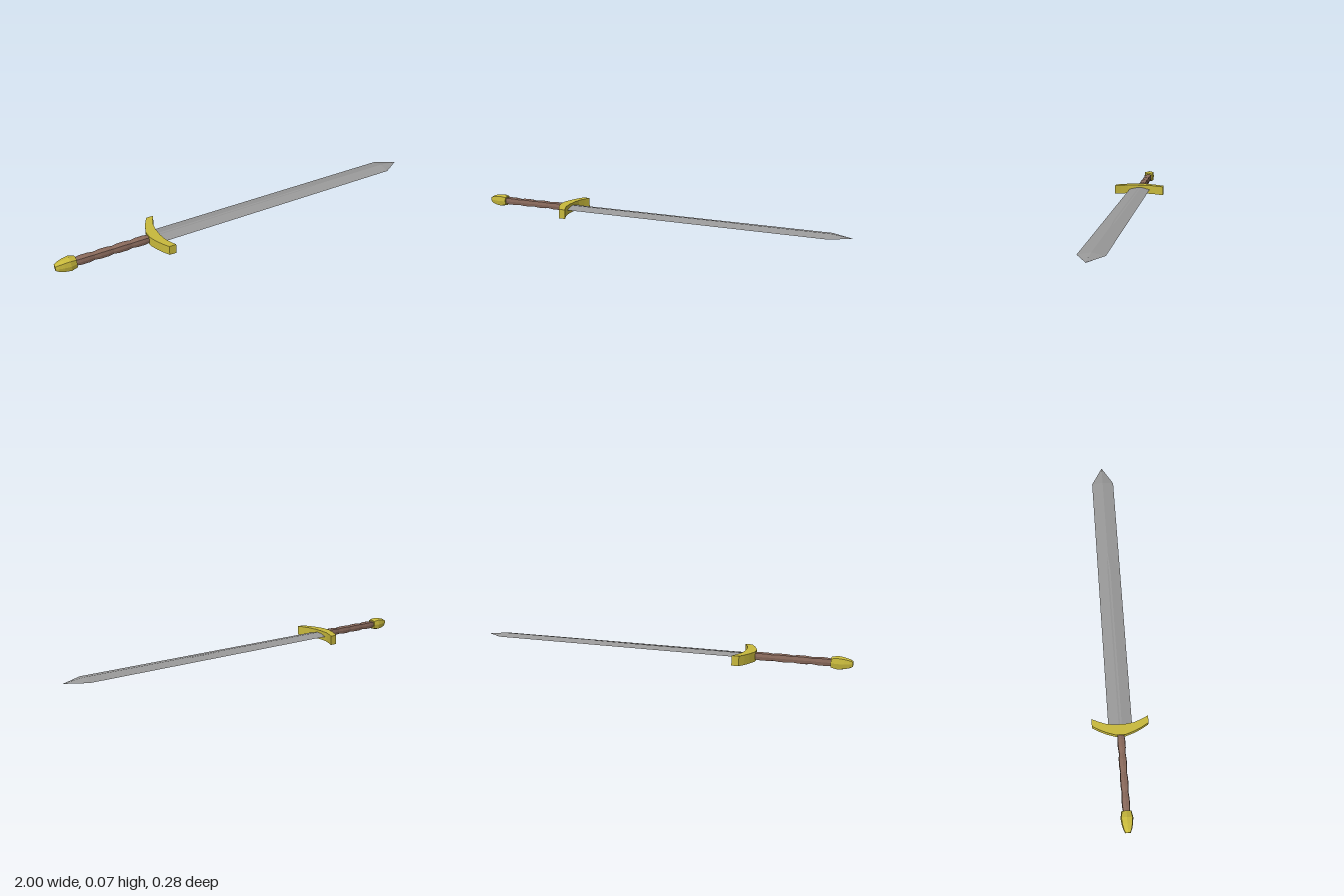
import * as THREE from 'three';

const CY = 0.0345; // height of the sword's long axis

function material(color) {
  return new THREE.MeshStandardMaterial({ color, flatShading: true });
}

// Skins closed rings of [y, z] points placed along x, with both ends capped.
function loft(sections) {
  const n = sections[0].ring.length;
  const positions = [];
  const index = [];
  for (const { x, ring } of sections) {
    for (const [y, z] of ring) positions.push(x, CY + y, z);
  }
  for (let i = 0; i < sections.length - 1; i++) {
    for (let j = 0; j < n; j++) {
      const k = (j + 1) % n;
      const a = i * n + j, b = i * n + k, c = a + n, d = b + n;
      index.push(a, b, c, b, d, c);
    }
  }
  const last = sections.length - 1;
  const start = positions.length / 3;
  positions.push(sections[0].x, CY, 0, sections[last].x, CY, 0);
  for (let j = 0; j < n; j++) {
    const k = (j + 1) % n;
    index.push(start, k, j, start + 1, last * n + j, last * n + k);
  }
  const geometry = new THREE.BufferGeometry();
  geometry.setAttribute('position', new THREE.Float32BufferAttribute(positions, 3));
  geometry.setIndex(index);
  const flat = geometry.toNonIndexed();
  flat.computeVertexNormals();
  return flat;
}

// Slightly squarish eight-sided ring
function octagon(r) {
  const d = r * 0.8;
  return [[r, 0], [d, d], [0, r * 0.93], [-d, d], [-r, 0], [-d, -d], [0, -r * 0.93], [d, -d]];
}

// Diamond blade section: half width w, ridge height h, centre height m
function bladeRing(w, h, m, groove) {
  return [[m, 0], [h, groove], [0, w], [-h, groove], [-m, 0], [-h, -groove], [0, -w], [h, -groove]];
}

export function createModel() {
  const group = new THREE.Group();
  const gold = material(0xc8b93c);
  const leather = material(0x8a6a5c);
  const steel = material(0x999999);
  const add = (name, geometry, mat) => {
    const mesh = new THREE.Mesh(geometry, mat);
    mesh.name = name;
    group.add(mesh);
  };

  // Blade with a shallow groove that runs out before the point
  add('blade', loft([
    { x: -0.5, ring: bladeRing(0.059, 0.011, 0.0095, 0.008) },
    { x: 0.35, ring: bladeRing(0.059, 0.011, 0.0095, 0.008) },
    { x: 0.46, ring: bladeRing(0.059, 0.011, 0.012, 0.005) },
    { x: 0.9, ring: bladeRing(0.059, 0.011, 0.012, 0.005) },
    { x: 1, ring: bladeRing(0.0005, 0.0003, 0.0004, 0.0001) },
  ]), steel);

  // Crossguard curving towards the blade
  const half = [[-0.537, 0.025], [-0.522, 0.07], [-0.505, 0.107], [-0.486, 0.14],
    [-0.45, 0.14], [-0.465, 0.107], [-0.479, 0.07], [-0.485, 0.025]];
  const mirrored = half.map(([x, z]) => [x, -z]).reverse();
  const outline = [...half, ...mirrored].map(([x, z]) => new THREE.Vector2(x, z));
  const guard = new THREE.ExtrudeGeometry(new THREE.Shape(outline), { depth: 0.049, bevelEnabled: false });
  guard.rotateX(Math.PI / 2);
  guard.translate(0, CY + 0.0245, 0);
  add('crossguard', guard, gold);

  // Grip with four swellings
  const grip = [];
  const swellings = 4, x0 = -0.905, pitch = 0.0935;
  for (let i = 0; i < swellings; i++) {
    grip.push({ x: x0 + i * pitch, ring: octagon(0.0175) });
    grip.push({ x: x0 + (i + 0.3) * pitch, ring: octagon(0.021) });
    grip.push({ x: x0 + (i + 0.7) * pitch, ring: octagon(0.021) });
  }
  grip.push({ x: x0 + swellings * pitch, ring: octagon(0.0175) });
  add('grip', loft(grip), leather);

  // Egg-shaped pommel
  const pommel = [[-1, 0.014], [-0.985, 0.022], [-0.96, 0.029], [-0.93, 0.033], [-0.9, 0.026]];
  add('pommel', loft(pommel.map(([x, r]) => ({ x, ring: octagon(r) }))), gold);

  return group;
}
